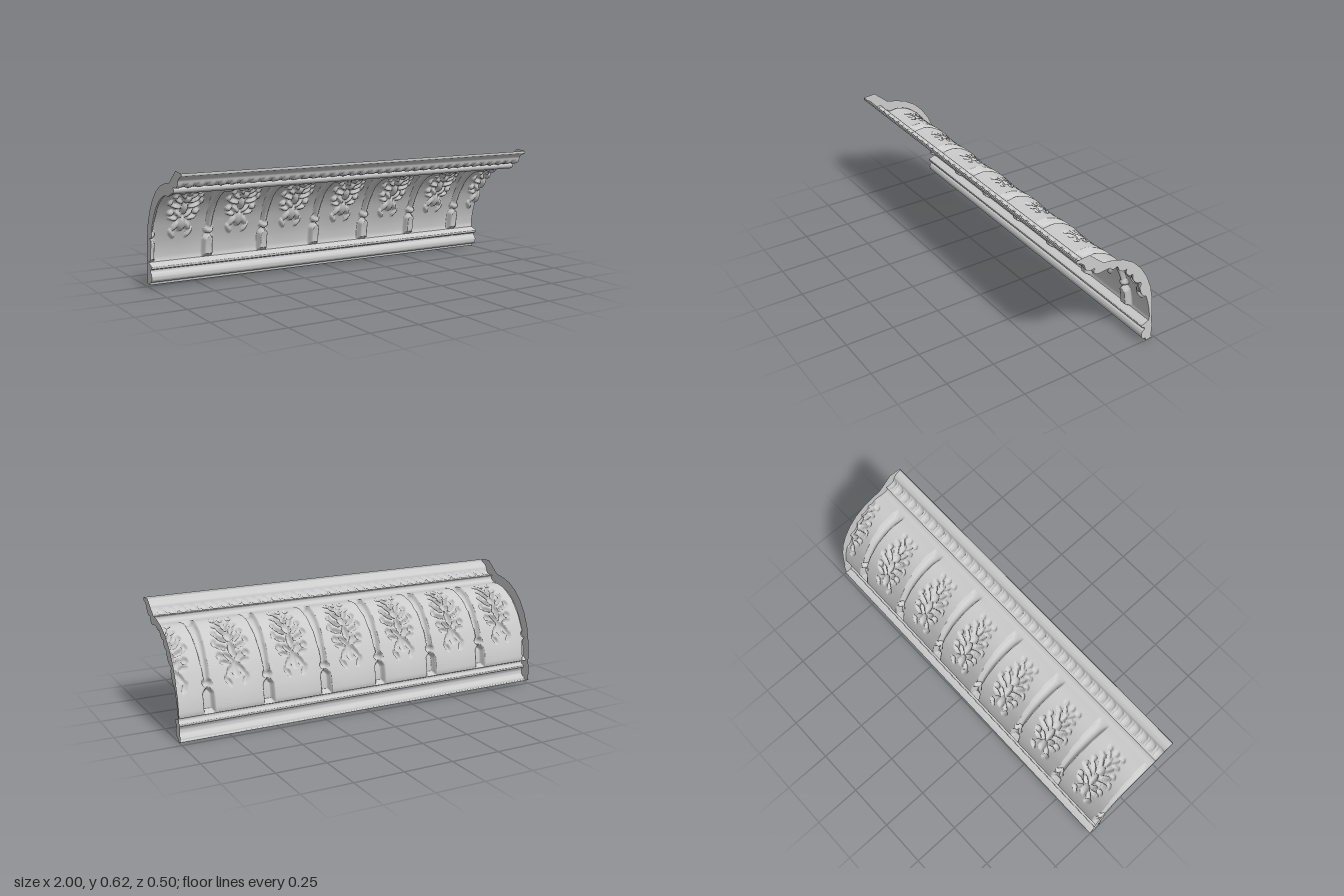
import * as THREE from 'three';

const PERIOD = 0.307, CENTRE = 0.075;          // spacing of the panels and one panel centre
const COLS = 460, COVE_ROWS = 88, SUB = 3;
const V = (z, y) => new THREE.Vector2(z, y);

// Profiles are [z, y], listed from bottom to top
const BASE = [[-0.235, 0.008], [-0.21, 0], [-0.197, 0.002], [-0.195, 0.014], [-0.18, 0.018], [-0.169, 0.03],
  [-0.167, 0.048], [-0.174, 0.063], [-0.183, 0.068], [-0.185, 0.08], [-0.166, 0.087], [-0.165, 0.1], [-0.205, 0.115]];
const COVE = [[-0.205, 0.115], [-0.209, 0.14], [-0.201, 0.2], [-0.181, 0.27], [-0.15, 0.345], [-0.1, 0.42],
  [-0.05, 0.465], [0, 0.492], [0.05, 0.504], [0.11, 0.496]];
const CROWN = [[0.11, 0.496], [0.13, 0.498], [0.144, 0.508], [0.146, 0.52], [0.139, 0.53], [0.152, 0.532],
  [0.178, 0.541], [0.195, 0.552], [0.2, 0.568], [0.215, 0.581], [0.243, 0.592], [0.243, 0.605]];
const BACK = [[0.175, 0.611], [0.095, 0.546], [0.04, 0.537], [-0.02, 0.519], [-0.08, 0.484], [-0.13, 0.434],
  [-0.17, 0.374], [-0.2, 0.304], [-0.215, 0.234], [-0.222, 0.164], [-0.224, 0.099], [-0.23, 0.089], [-0.23, 0.012]];

// Raised oval: centre, radii, tilt and height
function bump(u, s, [cu, cs, ru, rs, tilt, h]) {
  const du = u - cu, ds = s - cs, c = Math.cos(tilt), k = Math.sin(tilt);
  const q = ((du * c + ds * k) / ru) ** 2 + ((ds * c - du * k) / rs) ** 2;
  return q < 1 ? h * Math.sqrt(1 - q) : 0;
}

// Leaf ornament on one half of a panel, mirrored; u across, s up the cove
const LEAVES = [
  [0, 0.2, 0.022, 0.045, 0, 0.02], [0, 0.3, 0.016, 0.04, 0, 0.022], [0, 0.37, 0.022, 0.03, 0, 0.022],
  [0.03, 0.19, 0.014, 0.035, 0.5, 0.016], [0.045, 0.145, 0.012, 0.03, -0.5, 0.014],
  [0.05, 0.235, 0.026, 0.012, 0.35, 0.016], [0.025, 0.26, 0.011, 0.03, -0.7, 0.016],
  [0.066, 0.27, 0.017, 0.017, 0, 0.016], [0.05, 0.315, 0.036, 0.011, 0.4, 0.018],
  [0.08, 0.34, 0.012, 0.02, 0.3, 0.014], [0.042, 0.36, 0.034, 0.011, 0.75, 0.018],
  [0.065, 0.395, 0.014, 0.014, 0, 0.014], [0.026, 0.405, 0.011, 0.032, -0.5, 0.018],
  [0.045, 0.44, 0.02, 0.011, 0.3, 0.014], [0.018, 0.455, 0.009, 0.03, -0.6, 0.014],
  [0, 0.43, 0.012, 0.03, 0, 0.018], [0.042, 0.49, 0.014, 0.014, 0, 0.012], [0, 0.49, 0.013, 0.016, 0, 0.012],
];

// Relief height over the cove
function coveRelief(x, s, length) {
  const u = x - CENTRE - PERIOD * Math.round((x - CENTRE) / PERIOD);
  const d = PERIOD / 2 - Math.abs(u), t = s / length;
  const fade = Math.min(1, t / 0.02, (1 - t) / 0.06);
  // softly pillowed panel
  let h = 0.009 * Math.sin(Math.PI * Math.min(1, d / (PERIOD / 2)) / 2) * Math.sin(Math.PI * t);
  // pilaster: block with rounded top, knob, then a shaft flaring upwards
  if (s < 0.125) {
    const w = 0.028 * Math.sqrt(Math.min(1, (0.127 - s) / 0.025));
    if (d < w) h = Math.max(h, 0.033 * Math.min(1, (w - d) / 0.009));
  }
  h = Math.max(h, bump(d, s, [0, 0.15, 0.024, 0.022, 0, 0.032]));
  if (s > 0.165) {
    const w = 0.012 + 0.018 * (s - 0.165) / (length - 0.165);
    if (d < w) h = Math.max(h, 0.024 * Math.sqrt(1 - (d / w) ** 2));
  }
  let leaf = 0;
  for (const b of LEAVES) leaf = Math.max(leaf, bump(Math.abs(u), s, b));
  return (h + leaf) * Math.max(0, fade);
}

// Subdivides a polyline, leaving its corners in place
function subdivide(points) {
  const out = [];
  for (let i = 0; i < points.length - 1; i++)
    for (let k = 0; k < SUB; k++) out.push(V(...points[i]).lerp(V(...points[i + 1]), k / SUB));
  out.push(V(...points.at(-1)));
  return out;
}

// The run is very slightly out of true along its length
const place = (x, z, y) => [x, y + 0.006 - 0.006 * x, z - 0.01 + 0.01 * x];

// Sweeps a profile along x, raising each point along its normal by relief(x, distance)
function sweep(points, relief) {
  const dist = [0];
  for (let i = 1; i < points.length; i++) dist.push(dist[i - 1] + points[i].distanceTo(points[i - 1]));
  const normals = points.map((p, i) => {
    const t = points[Math.min(i + 1, points.length - 1)].clone().sub(points[Math.max(i - 1, 0)]).normalize();
    return V(t.y, -t.x);
  });
  const section = (x) => points.map((p, j) =>
    p.clone().addScaledVector(normals[j], relief(x, dist[j], dist.at(-1))));
  const pos = [], index = [], rows = points.length;
  for (let i = 0; i <= COLS; i++) {
    const x = -1 + 2 * i / COLS;
    for (const p of section(x)) pos.push(...place(x, p.x, p.y));
    if (i === COLS) break;
    for (let j = 0; j < rows - 1; j++) {
      const a = i * rows + j, b = a + rows;
      index.push(a, b, b + 1, a, b + 1, a + 1);
    }
  }
  const geometry = new THREE.BufferGeometry();
  geometry.setAttribute('position', new THREE.Float32BufferAttribute(pos, 3));
  geometry.setIndex(index);
  geometry.computeVertexNormals();
  return { geometry, section };
}

// Egg row along the crown
function eggRelief(x, s) {
  const e = 0.055, u = x - e * Math.round(x / e);
  return Math.max(bump(u, s, [0, 0.097, 0.022, 0.026, 0, 0.009]),
    bump(Math.abs(u), s, [e / 2, 0.1, 0.005, 0.022, 0, 0.006]));
}

export function createModel() {
  const group = new THREE.Group();
  const material = new THREE.MeshStandardMaterial({ color: 0xcccccc, side: THREE.DoubleSide });
  const add = (name, geometry) => {
    const mesh = new THREE.Mesh(geometry, material);
    mesh.name = name;
    group.add(mesh);
  };

  // Three swept strips of open-backed moulding
  const curve = new THREE.SplineCurve(COVE.map((p) => V(...p)));
  const strips = {
    baseMoulding: sweep(subdivide(BASE), () => 0),
    ornamentedCove: sweep(curve.getSpacedPoints(COVE_ROWS), coveRelief),
    crownMoulding: sweep(subdivide(CROWN), eggRelief),
  };
  for (const [name, strip] of Object.entries(strips)) add(name, strip.geometry);

  // Full-depth end plates
  for (const [name, x] of [['leftEnd', 1], ['rightEnd', -1]]) {
    const outline = Object.values(strips).flatMap((s) => s.section(x));
    outline.push(...BACK.map((p) => V(...p)));
    const plate = new THREE.ShapeGeometry(new THREE.Shape(outline));
    const pos = plate.attributes.position;
    for (let i = 0; i < pos.count; i++) pos.setXYZ(i, ...place(x, pos.getX(i), pos.getY(i)));
    plate.computeVertexNormals();
    add(name, plate);
  }
  return group;
}
